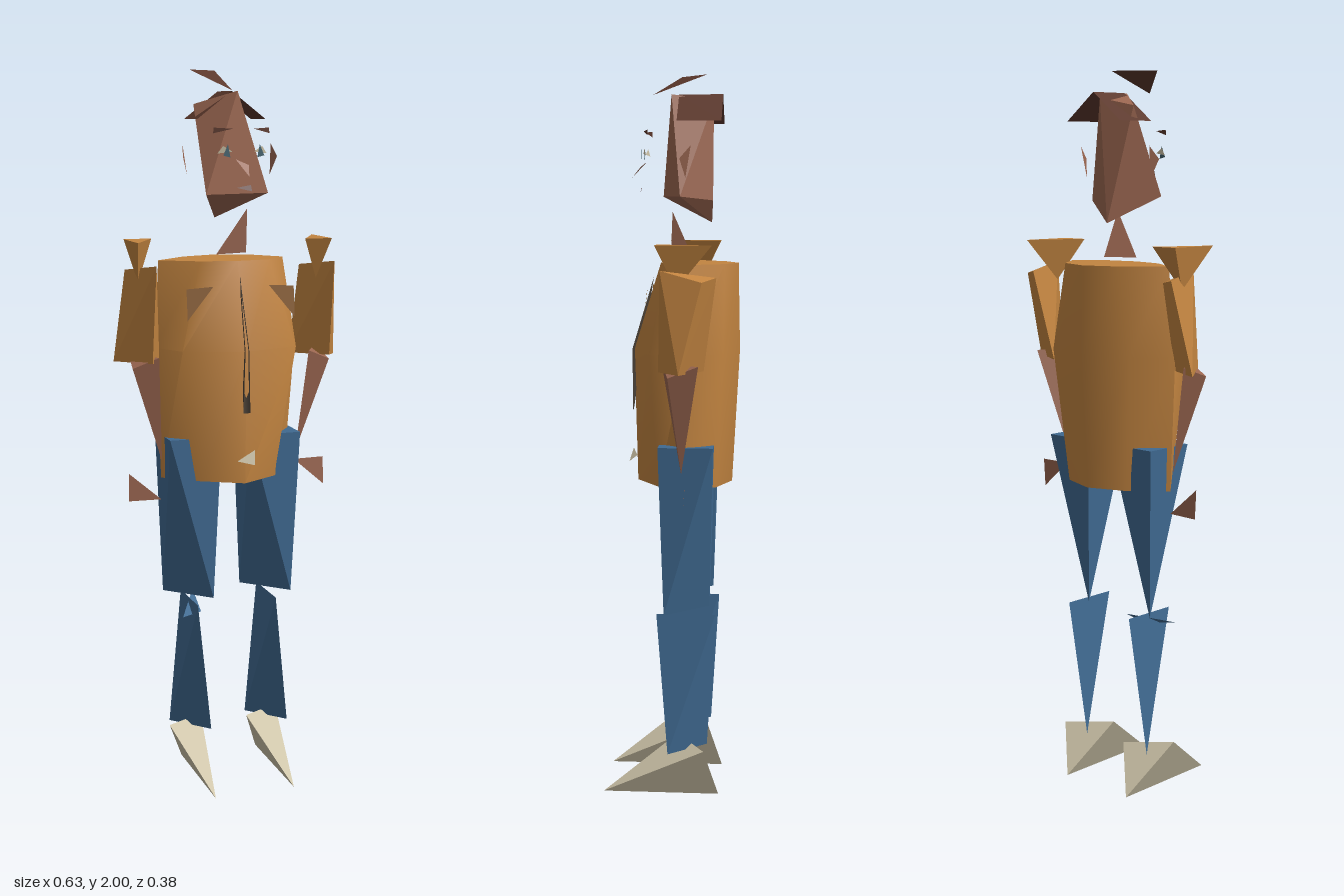
import * as THREE from 'three';
import { ConvexGeometry } from 'three/addons/geometries/ConvexGeometry.js';
import { toCreasedNormals } from 'three/addons/utils/BufferGeometryUtils.js';

const mat = (name, color) => {
  const m = new THREE.MeshStandardMaterial({ color, side: THREE.DoubleSide });
  m.name = name;
  return m;
};

export function createModel() {
  const model = new THREE.Group();
  model.name = 'figure';
  const skin = mat('skin', 0x9a6650), hair = mat('hair', 0x5c382c), jacket = mat('jacket', 0xc28440);
  const pocketCloth = mat('pocketCloth', 0x835624), denim = mat('denim', 0x3f6990);
  const cream = mat('cream', 0xcdc3a8), dark = mat('darkTrim', 0x4c4238);
  const iris = mat('iris', 0x40606c), lips = mat('lips', 0x5a2c26);

  const add = (name, geometry, material) => {
    const mesh = new THREE.Mesh(geometry, material);
    mesh.name = name;
    model.add(mesh);
    return mesh;
  };
  // Faceted solid around a few corner points, optionally moved sideways
  const hull = (name, material, points, dx = 0) =>
    add(name, new ConvexGeometry(points.map(([x, y, z]) => new THREE.Vector3(x + dx, y, z))), material);
  // Thin flat polygon as a triangle fan
  const plate = (name, material, points) => {
    const g = new THREE.BufferGeometry();
    g.setAttribute('position', new THREE.Float32BufferAttribute(points.flat(), 3));
    const index = [];
    for (let i = 1; i < points.length - 1; i++) index.push(0, i, i + 1);
    g.setIndex(index);
    g.computeVertexNormals();
    return add(name, g, material);
  };
  const mirror = (points, s) => {
    const p = points.map(([x, y, z]) => [x * s, y, z]);
    return s < 0 ? p.reverse() : p;
  };

  // Torso: three eight-sided rings [x, z], starting at the front
  const rings = [
    [0.88, [[0, 0.095], [0.11, 0.03], [0.17, -0.05], [0.11, -0.13], [0, -0.17], [-0.11, -0.13], [-0.2, -0.05], [-0.11, 0.03]]],
    [1.25, [[0, 0.105], [0.165, 0.05], [0.2, -0.05], [0.15, -0.15], [0, -0.19], [-0.145, -0.155], [-0.215, -0.05], [-0.165, 0.05]]],
    [1.49, [[0, 0.03], [0.1, 0.01], [0.165, -0.06], [0.1, -0.15], [0, -0.185], [-0.1, -0.15], [-0.2, -0.06], [-0.1, 0.01]]],
  ];
  const pos = rings.flatMap(([y, ring]) => ring.flatMap(([x, z]) => [x, y, z]));
  const idx = [];
  for (let r = 0; r < 2; r++) for (let i = 0; i < 8; i++) {
    const a = r * 8 + i, b = r * 8 + (i + 1) % 8;
    idx.push(a, b, b + 8, a, b + 8, a + 8);
  }
  for (let i = 1; i < 7; i++) idx.push(0, i + 1, i, 16, 16 + i, 17 + i);
  const torso = new THREE.BufferGeometry();
  torso.setAttribute('position', new THREE.Float32BufferAttribute(pos, 3));
  torso.setIndex(idx);
  add('torso', toCreasedNormals(torso, 0.9), jacket);

  // Jacket front: opening, pockets, buckle
  plate('jacketOpening', dark, [[0, 1.45, 0.05], [-0.005, 1.25, 0.11], [-0.01, 1.08, 0.108], [0.01, 1.08, 0.108], [0.006, 1.25, 0.11]]);
  for (const s of [1, -1])
    plate('pocket', pocketCloth, mirror([[0.08, 1.425, 0.06], [0.155, 1.335, 0.065], [0.155, 1.42, 0.055]], s));
  plate('buckle', cream, [[-0.025, 0.945, 0.1], [0.02, 0.935, 0.118], [0.025, 0.975, 0.105]]);

  // Legs: wedges whose lower edge runs diagonally; both sides share one shape
  for (const dx of [0, 0.235]) {
    hull('thigh', denim, [[-0.195, 1, -0.125], [-0.195, 1, 0.025], [-0.045, 1, 0.025], [-0.045, 1, -0.125],
      [-0.18, 0.53, -0.11], [-0.065, 0.53, 0.01]], dx);
    hull('shin', denim, [[-0.12, 0.52, 0.035], [-0.12, 0.52, -0.13], [-0.165, 0.13, -0.105], [-0.07, 0.13, 0]], dx);
    hull('shoe', cream, [[-0.118, 0, 0.185], [-0.118, 0, -0.14], [-0.19, 0.15, -0.02], [-0.07, 0.14, -0.1]], dx);
  }
  plate('kneeFold', denim, [[-0.16, 0.485, 0.02], [-0.09, 0.48, -0.03], [-0.09, 0.525, -0.11]]);

  // Sleeves
  for (const dx of [0, -0.52])
    hull('sleeve', jacket, [[0.245, 1.46, -0.135], [0.295, 1.48, 0.01], [0.305, 1.45, -0.1],
      [0.2, 1.21, -0.1], [0.315, 1.21, -0.04], [0.28, 1.215, 0.015]], dx);

  // Shoulder caps are turned half round on opposite sides
  const cap = [[0.2, 1.545, 0.025], [0.28, 1.545, 0.025], [0.28, 1.545, -0.125], [0.255, 1.43, -0.03]];
  hull('shoulderCap', jacket, cap);
  hull('shoulderCap', jacket, cap.map(([x, y, z]) => [-x, y, -0.1 - z]));

  // Forearms and hands
  for (const s of [1, -1]) {
    hull('forearm', skin, mirror([[0.29, 1.2, -0.01], [0.22, 1.23, 0.01], [0.28, 1.23, -0.09], [0.2, 0.93, -0.04]], s));
    plate('hand', skin, mirror([[0.2, 0.905, -0.05], [0.293, 0.825, -0.05], [0.293, 0.905, -0.055]], s)).position.y = s < 0 ? -0.003 : 0;
  }
  // The right hand tapers upward
  const rightHand = model.children.filter((c) => c.name === 'hand')[1];
  rightHand.geometry.scale(1, -1, 1).translate(0, 1.725, 0);

  // Neck and head
  hull('neck', skin, [[0.04, 1.63, -0.005], [0.04, 1.505, -0.06], [-0.045, 1.505, -0.02], [0.035, 1.51, 0]]);
  hull('head', skin, [[0.01, 1.945, 0], [0, 1.93, -0.115], [-0.09, 1.91, -0.08], [-0.09, 1.67, 0.03],
    [0.11, 1.67, -0.03], [0.03, 1.66, -0.115], [-0.02, 1.6, -0.11]]);

  // Hair: two sloping sheets and a raised tuft
  for (const s of [1, -1])
    plate('hairSide', hair, mirror([[0, 1.945, -0.02], [0.098, 1.87, -0.02], [0.098, 1.87, -0.14], [0, 1.945, -0.14]], s));
  plate('hairTuft', hair, [[-0.12, 2, -0.02], [-0.024, 1.945, 0.054], [-0.024, 2, -0.096]]);

  // Ears and face
  for (const s of [1, -1]) {
    plate('ear', skin, mirror([[0.12, 1.72, -0.045], [0.136, 1.77, -0.03], [0.128, 1.805, -0.06]], s));
    plate('eyebrow', hair, mirror([[0.03, 1.845, 0.075], [0.08, 1.833, 0.06], [0.078, 1.848, 0.06]], s));
    plate('eyeWhite', cream, mirror([[0.03, 1.785, 0.075], [0.07, 1.78, 0.065], [0.055, 1.8, 0.07]], s));
    plate('iris', iris, mirror([[0.038, 1.77, 0.08], [0.058, 1.775, 0.08], [0.045, 1.805, 0.08]], s));
  }
  plate('nose', skin, [[-0.02, 1.765, 0.07], [0.005, 1.72, 0.11], [0.012, 1.75, 0.085]]);
  plate('mouth', lips, [[-0.022, 1.69, 0.085], [0.022, 1.68, 0.085], [0.02, 1.697, 0.08]]);

  return model;
}
